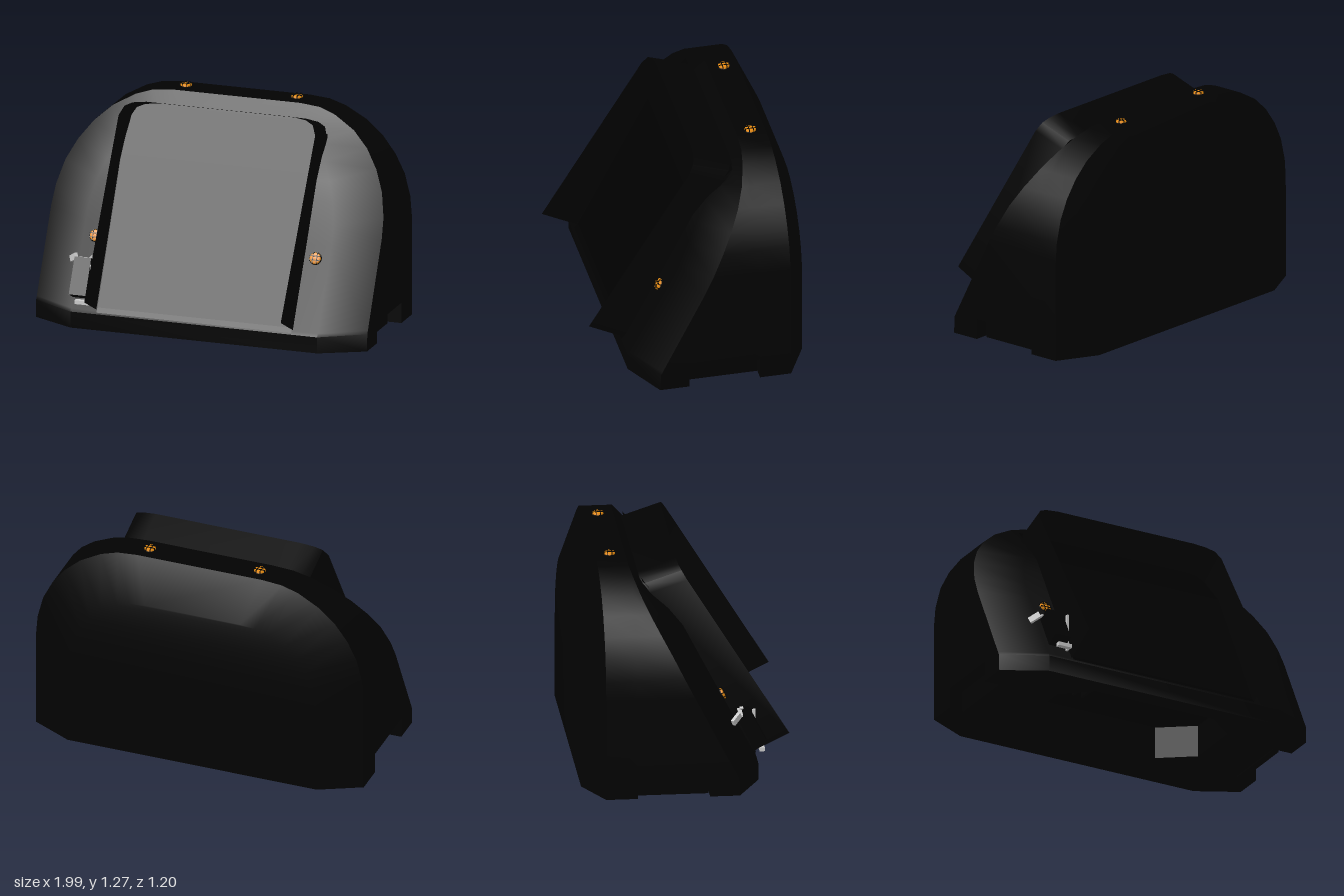
import * as THREE from 'three';
import { toCreasedNormals } from 'three/addons/utils/BufferGeometryUtils.js';

const mat = (name, color, side = THREE.FrontSide) => {
  const m = new THREE.MeshStandardMaterial({ color, side });
  m.name = name;
  return m;
};

// piecewise linear lookup in [[y, z], ...]
function lookup(table, y) {
  if (y <= table[0][0]) return table[0][1];
  for (let i = 1; i < table.length; i++) {
    const [y0, z0] = table[i - 1], [y1, z1] = table[i];
    if (y <= y1) return z0 + (z1 - z0) * (y - y0) / (y1 - y0);
  }
  return table[table.length - 1][1];
}

// collects quads (corners counterclockwise) and skips collapsed triangles
class Surface {
  constructor() { this.pos = []; }
  tri(a, b, c) {
    const [A, B, C] = [a, b, c].map((p) => new THREE.Vector3(...p));
    if (B.sub(A).cross(C.sub(A)).length() > 1e-6) this.pos.push(...a, ...b, ...c);
  }
  quad(a, b, c, d) { this.tri(a, b, c); this.tri(a, c, d); }
  build(crease) {
    const g = new THREE.BufferGeometry();
    g.setAttribute('position', new THREE.Float32BufferAttribute(this.pos, 3));
    g.computeVertexNormals();
    return toCreasedNormals(g, crease);
  }
}

export function createModel() {
  const root = new THREE.Group();
  const shellMat = mat('shell black', 0x020202, THREE.DoubleSide);
  const panelMat = mat('panel black', 0x000000, THREE.DoubleSide);
  const amber = mat('amber', 0xe88c10);
  const silver = mat('silver', 0xcccccc);

  const add = (name, geo, material, parent = root) => {
    const m = new THREE.Mesh(geo, material);
    m.name = name;
    parent.add(m);
    return m;
  };
  const box = (name, size, at, material, parent = root) => {
    const m = add(name, new THREE.BoxGeometry(...size), material, parent);
    m.position.set(...at);
    return m;
  };

  // arched outline, swept from back to sloping front
  const half = [[0.994, 0.01], [0.994, 0.11], [0.994, 0.13], [0.992, 0.6], [0.983, 0.71], [0.95, 0.84],
    [0.895, 0.95], [0.82, 1.05], [0.725, 1.135], [0.6, 1.205], [0.5, 1.237], [0.38, 1.247]];
  const arch = [...half, ...half.slice().reverse().map(([x, y]) => [-x, y])];
  const frontZ = (y) => lookup([[0.11, 0.41], [0.14, 0.385], [0.93, -0.02], [1.18, -0.25]], y);
  const edgeZ = (y) => lookup([[0.1, 0.28], [0.85, -0.1], [1.1, -0.24], [1.247, -0.31]], y);
  const ring = (kx, ky, z) => arch.map(([x, y]) => {
    const yy = 0.01 + (y - 0.01) * ky;
    return [x * kx, yy, z(yy)];
  });
  const rings = [
    ring(0.76, 0.8, () => -0.6),
    ring(1, 1, () => -0.48),
    ring(1, 1, (y) => Math.min(-0.3, edgeZ(y))),
    ring(1, 1, (y) => Math.min(0.11, edgeZ(y))),
    ring(1, 1, edgeZ),
    ring(0.745, 0.946, frontZ),
  ];
  const n = arch.length;
  const body = new Surface();
  for (let r = 0; r < rings.length - 1; r++) {
    for (let i = 0; i < n - 1; i++) {
      if (r === 2 && (i < 2 || i > n - 4)) continue; // side grip openings
      const a = rings[r], b = rings[r + 1];
      body.quad(a[i], a[i + 1], b[i + 1], b[i]);
    }
  }
  const back = rings[0], front = rings[5];
  for (let i = 0; i < half.length - 1; i++) {
    const j = n - 1 - i;
    body.quad(front[i], front[i + 1], front[j - 1], front[j]);
    body.quad(back[j], back[j - 1], back[i + 1], back[i]);
  }
  add('shell', body.build(0.5), shellMat);

  // underside with an eight-sided pocket and side grip notches
  const right = [[0.755, -0.6], [0.994, -0.48], [0.994, -0.3], [0.9, -0.3],
    [0.9, 0.11], [0.994, 0.11], [0.994, 0.28], [0.74, 0.41]];
  const outline = [...right, ...right.slice().reverse().map(([x, z]) => [-x, z])];
  const pocket = [[0.35, -0.32], [0.55, -0.18], [0.55, 0.16], [0.38, 0.3],
    [-0.38, 0.3], [-0.55, 0.16], [-0.55, -0.18], [-0.35, -0.32]];
  const toV2 = (pts) => pts.map(([x, z]) => new THREE.Vector2(x, z));
  const base = new THREE.Shape(toV2(outline));
  base.holes.push(new THREE.Path(toV2(pocket)));
  const baseGeo = new THREE.ShapeGeometry(base).rotateX(Math.PI / 2);
  add('underside', baseGeo.translate(0, 0.01, 0), shellMat);

  const walls = new Surface();
  pocket.forEach(([x, z], i) => {
    const [u, w] = pocket[(i + 1) % pocket.length];
    walls.quad([x, 0.01, z], [x, 0.2, z], [u, 0.2, w], [u, 0.01, w]);
  });
  add('pocketWalls', walls.build(0.1), shellMat);
  const roof = new THREE.ShapeGeometry(new THREE.Shape(toV2(pocket))).rotateX(Math.PI / 2);
  add('pocketRoof', roof.translate(0, 0.2, 0), panelMat);
  for (let i = 0; i < 3; i++) {
    box('pocketRib', [0.015, 0.09, 0.16], [-0.3 - i * 0.06, 0.155, 0.08], shellMat);
  }

  // side grips, each with a foot plate at the back
  for (const s of [1, -1]) {
    const grip = new Surface();
    const p = (x, y, z) => [s * x, y, z];
    grip.quad(p(0.9, 0.13, -0.3), p(0.994, 0.13, -0.3), p(0.994, 0.13, 0.11), p(0.9, 0.13, 0.11));
    for (const z of [-0.3, 0.11]) {
      grip.quad(p(0.9, 0.01, z), p(0.994, 0.01, z), p(0.994, 0.13, z), p(0.9, 0.13, z));
    }
    add('gripRecess', grip.build(0.1), shellMat);
    box('foot', [0.04, 0.13, 0.41], [s * 0.89, 0.065, -0.095], shellMat);
  }

  // thin hood around the display
  const hoodHalf = [[0.59, 0.23, 0.6], [0.59, 1.17, 0.02], [0.565, 1.22, -0.01], [0.52, 1.24, -0.024], [0.44, 1.25, -0.03]];
  const rim = [...hoodHalf, ...hoodHalf.slice().reverse().map(([x, y, z]) => [-x, y, z])];
  const hood = new Surface();
  const inner = rim.map(([x, y, z]) => [x, y - (y < 0.5 ? 0.105 : 0.08), z - (y < 0.5 ? 0.21 : 0.24)]);
  for (let i = 0; i < rim.length - 1; i++) hood.quad(inner[i], inner[i + 1], rim[i + 1], rim[i]);
  add('hood', hood.build(0.6), shellMat);

  // display panel lying on the sloping front
  const panel = new Surface();
  const rows = [0.115, 0.14, 0.93, 1.17];
  for (let i = 0; i < rows.length - 1; i++) {
    const c = (x, y) => [x, y, frontZ(y) + 0.006];
    panel.quad(c(0.585, rows[i]), c(0.585, rows[i + 1]), c(-0.585, rows[i + 1]), c(-0.585, rows[i]));
  }
  add('displayPanel', panel.build(0.2), panelMat);

  // amber lamps under dark wire guards, local y points outward
  const lamp = (x, y, z, tilt) => {
    const g = new THREE.Group();
    g.name = 'lamp';
    const profile = [[0.033, 0], [0.033, 0.012], [0.027, 0.018], [0, 0.02]].map((q) => new THREE.Vector2(...q));
    add('lampLens', new THREE.LatheGeometry(profile, 16), amber, g);
    const ringGeo = new THREE.TorusGeometry(0.034, 0.003, 6, 20).rotateX(Math.PI / 2);
    add('guardRing', ringGeo, shellMat, g).position.y = 0.003;
    for (const o of [-0.012, 0.012]) {
      // each bar arches over the lens and down its sides
      for (const turn of [0, Math.PI / 2]) {
        const bar = new THREE.Group();
        bar.name = 'guardBar';
        bar.rotation.y = turn;
        box('barTop', [0.064, 0.004, 0.004], [0, 0.02, o], shellMat, bar);
        for (const s of [1, -1]) box('barSide', [0.004, 0.021, 0.004], [s * 0.032, 0.0105, o], shellMat, bar);
        g.add(bar);
      }
    }
    g.position.set(x, y, z);
    g.rotation.x = tilt;
    root.add(g);
  };
  for (const s of [1, -1]) {
    lamp(s * 0.333, 1.247, -0.397, 0);
    lamp(s * 0.66, 0.503, 0.206, 1.1);
  }

  // small device in a silver bracket beside the hood
  box('handset', [0.1, 0.22, 0.085], [-0.682, 0.302, 0.375], shellMat).rotation.x = -0.47;
  box('bracketSide', [0.012, 0.22, 0.02], [-0.618, 0.28, 0.395], silver);
  box('bracketBase', [0.085, 0.022, 0.03], [-0.66, 0.176, 0.435], silver);
  box('bracketCorner', [0.05, 0.014, 0.02], [-0.634, 0.398, 0.322], silver).rotation.z = -0.75;
  box('bracketArm', [0.12, 0.012, 0.022], [-0.68, 0.395, 0.312], silver);
  box('bracketHook', [0.07, 0.035, 0.02], [-0.765, 0.388, 0.282], silver).rotation.set(0, -0.75, 0.5);

  return root;
}
